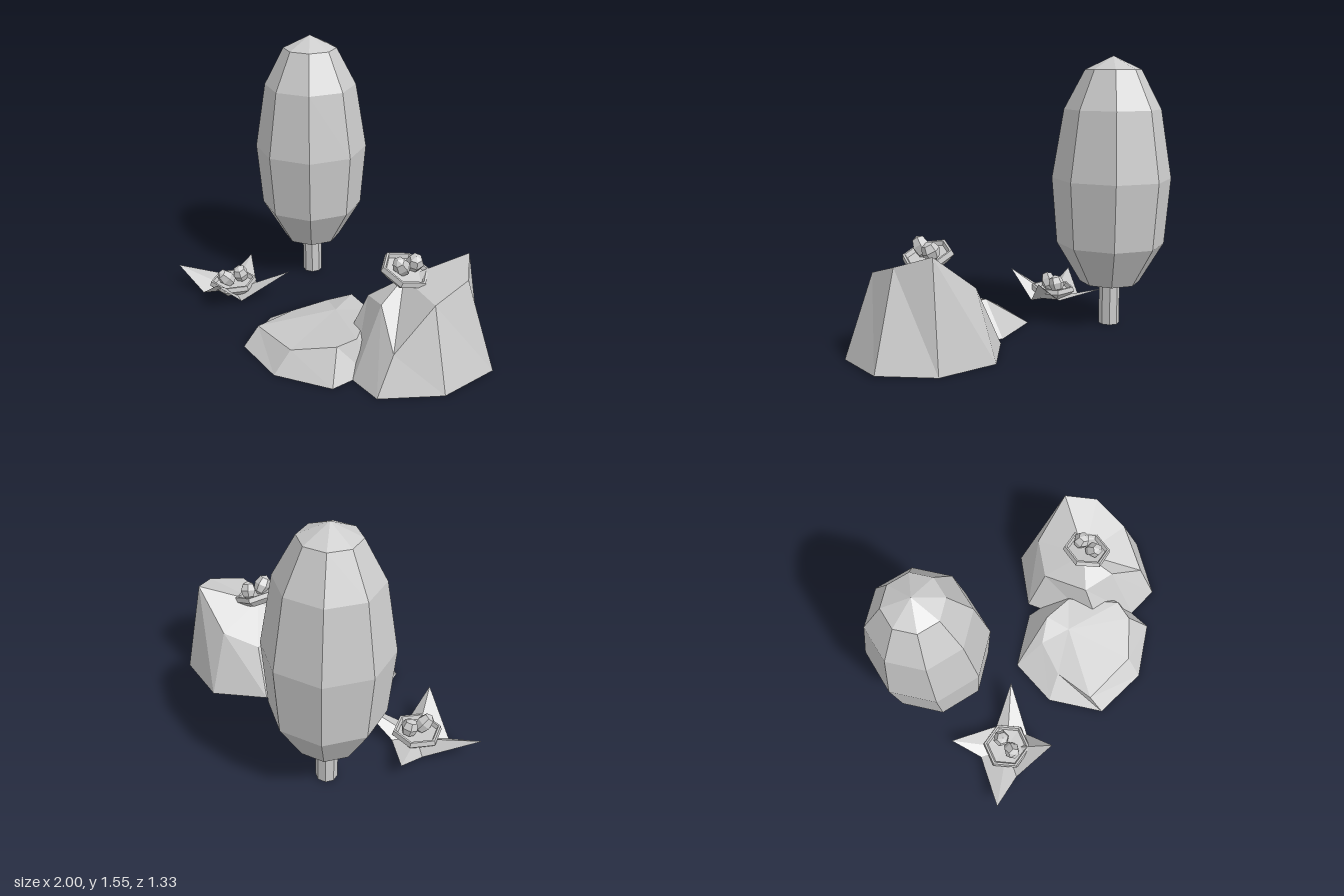
import * as THREE from 'three';

const material = new THREE.MeshStandardMaterial({ color: 0xcccccc, flatShading: true });
const openMaterial = new THREE.MeshStandardMaterial({ color: 0xcccccc, flatShading: true, side: THREE.DoubleSide });

function mesh(name, geometry, mat = openMaterial) {
  const m = new THREE.Mesh(geometry, mat);
  m.name = name;
  return m;
}

function triangles(points) {
  const g = new THREE.BufferGeometry();
  g.setAttribute('position', new THREE.Float32BufferAttribute(points.flat(), 3));
  g.computeVertexNormals();
  return g;
}

function lathe(profile, sides) {
  return new THREE.LatheGeometry(profile.map(([r, y]) => new THREE.Vector2(r, y)), sides, Math.PI / 2);
}

// Faceted boulder shell, open below: base ring, shoulder ring and one peak, rings counterclockwise from above
function boulder(name, base, shoulder, peak) {
  const out = [];
  base.forEach((a, i) => {
    const j = (i + 1) % base.length;
    const b = base[j], c = shoulder[i], d = shoulder[j];
    out.push(a, b, c, b, d, c, c, d, peak);
  });
  return mesh(name, triangles(out));
}

// Shallow hexagonal bowl with two eggs
function nest(name) {
  const g = new THREE.Group();
  g.name = name;
  g.add(mesh('bowl', lathe([[0, 0], [0.1, 0], [0.145, 0.04], [0.138, 0.068], [0.125, 0.068], [0.115, 0.045], [0, 0.04]], 6), material));
  const eggs = [
    { p: [0.012, 0.092, -0.05], s: [0.05, 0.055, 0.05], r: [0.3, 0.4, 0] },
    { p: [-0.01, 0.088, 0.045], s: [0.048, 0.065, 0.048], r: [0.7, 0, 0.3] },
  ];
  for (const { p, s, r } of eggs) {
    const egg = mesh('egg', new THREE.SphereGeometry(1, 6, 4), material);
    egg.position.set(...p);
    egg.scale.set(...s);
    egg.rotation.set(...r);
    g.add(egg);
  }
  return g;
}

export function createModel() {
  const model = new THREE.Group();
  model.name = 'rocksTreeAndNests';

  // Tree: crown shell open below, with the trunk running up into it
  const tree = new THREE.Group();
  tree.name = 'tree';
  const crown = [[0.172, 0.25], [0.31, 0.48], [0.342, 0.86], [0.277, 1.255], [0.16, 1.478], [0, 1.555]];
  tree.add(mesh('crown', lathe(crown, 8)));
  const trunk = mesh('trunk', new THREE.CylinderGeometry(0.06, 0.06, 0.4, 8, 1, true));
  trunk.position.y = 0.2;
  tree.add(trunk);
  tree.position.set(-0.557, 0, -0.326);
  model.add(tree);

  // Low boulder
  model.add(boulder('lowBoulder',
    [[-0.2, 0, -0.01], [-0.27, 0, 0.29], [-0.14, 0, 0.6], [0.19, 0, 0.665],
      [0.5, 0, 0.53], [0.53, 0, 0.3], [0.5, 0, 0], [0.12, 0, -0.14]],
    [[-0.02, 0.13, 0.06], [-0.12, 0.095, 0.25], [-0.13, 0.095, 0.5], [0.21, 0.12, 0.56],
      [0.42, 0.17, 0.42], [0.46, 0.19, 0.31], [0.3, 0.19, 0.04], [0.12, 0.2, 0]],
    [0.14, 0.17, 0.15]));

  // Tall boulder
  model.add(boulder('tallBoulder',
    [[0.42, 0, -0.42], [0.18, 0, -0.19], [0.3, 0, 0.3], [0.52, 0, 0.4],
      [0.72, 0, 0.43], [0.95, 0, 0.16], [1, 0.015, -0.18], [0.76, 0, -0.38]],
    [[0.45, 0.38, -0.3], [0.31, 0.29, -0.15], [0.36, 0.34, 0.12], [0.53, 0.38, 0.2],
      [0.72, 0.21, 0.31], [0.81, 0.45, 0.1], [0.84, 0.52, -0.13], [0.72, 0.58, -0.29]],
    [0.51, 0.46, 0]));

  // Four pointed leaves spread under the ground nest
  const star = [[-0.84, 0.1, -0.04], [-0.81, 0.03, 0.155], [-1, 0.13, 0.42], [-0.78, 0.01, 0.4],
    [-0.525, 0.19, 0.485], [-0.53, 0.01, 0.3], [-0.355, 0.19, 0.06], [-0.6, 0.03, 0.12]];
  const centre = [-0.67, 0.015, 0.25];
  const leaves = star.flatMap((p, i) => [p, star[(i + 1) % star.length], centre]);
  model.add(mesh('leaves', triangles(leaves)));

  // Nests on the ground and on the tall boulder
  const groundNest = nest('groundNest');
  groundNest.position.set(-0.668, 0.025, 0.25);
  const rockNest = nest('rockNest');
  rockNest.position.set(0.505, 0.465, 0.01);
  rockNest.rotation.set(-0.04, 0.1, -0.36);
  model.add(groundNest, rockNest);

  return model;
}
